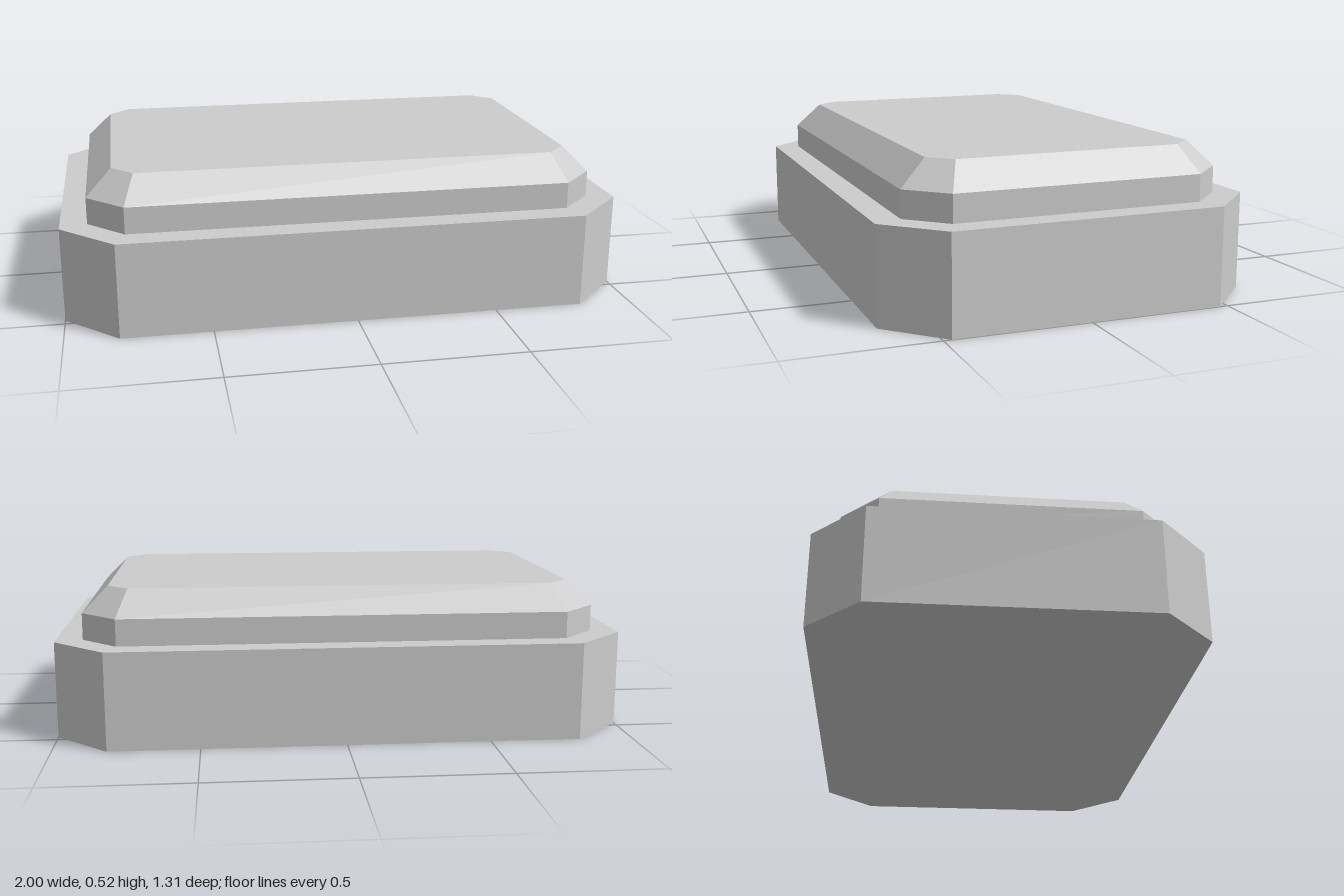
import * as THREE from 'three';

const SLOPE = 0.005; // upper surfaces rise slightly toward the back

// Rectangle ring with chamfered corners, counter-clockwise seen from above
function ring(hx, hz, cx, cz, y, dz = 0) {
  return [
    [hx, cz], [hx, -cz], [cx, -hz], [-cx, -hz],
    [-hx, -cz], [-hx, cz], [-cx, hz], [cx, hz],
  ].map(([x, z]) => [x, y > 0 ? y - SLOPE * z : 0, z + dz]);
}

// Skin between successive rings, capped at the top and optionally below
function loft(rings, capBottom) {
  const p = [];
  const tri = (a, b, c) => p.push(...a, ...b, ...c);
  const n = rings[0].length;
  for (let r = 0; r < rings.length - 1; r++) {
    const lo = rings[r], hi = rings[r + 1];
    for (let i = 0; i < n; i++) {
      const j = (i + 1) % n;
      tri(lo[i], lo[j], hi[j]);
      tri(lo[i], hi[j], hi[i]);
    }
  }
  const first = rings[0], last = rings[rings.length - 1];
  for (let i = 1; i < n - 1; i++) {
    tri(last[0], last[i], last[i + 1]);
    if (capBottom) tri(first[0], first[i + 1], first[i]);
  }
  const g = new THREE.BufferGeometry();
  g.setAttribute('position', new THREE.Float32BufferAttribute(p, 3));
  g.computeVertexNormals();
  return g;
}

export function createModel() {
  const group = new THREE.Group();
  group.name = 'steppedBlock';
  const grey = new THREE.MeshStandardMaterial({ color: 0xcccccc });
  grey.name = 'lightGrey';

  const add = (name, geometry) => {
    const mesh = new THREE.Mesh(geometry, grey);
    mesh.name = name;
    group.add(mesh);
  };

  // Wide chamfered base
  add('base', loft([
    ring(1, 0.656, 0.815, 0.472, 0),
    ring(1, 0.656, 0.815, 0.472, 0.338),
  ], true));

  // Inset step with bevelled lid
  add('lid', loft([
    ring(0.906, 0.564, 0.78, 0.435, 0.338, -0.001),
    ring(0.906, 0.564, 0.78, 0.435, 0.432, -0.001),
    ring(0.817, 0.473, 0.743, 0.395, 0.522, -0.002),
  ], false));

  return group;
}
